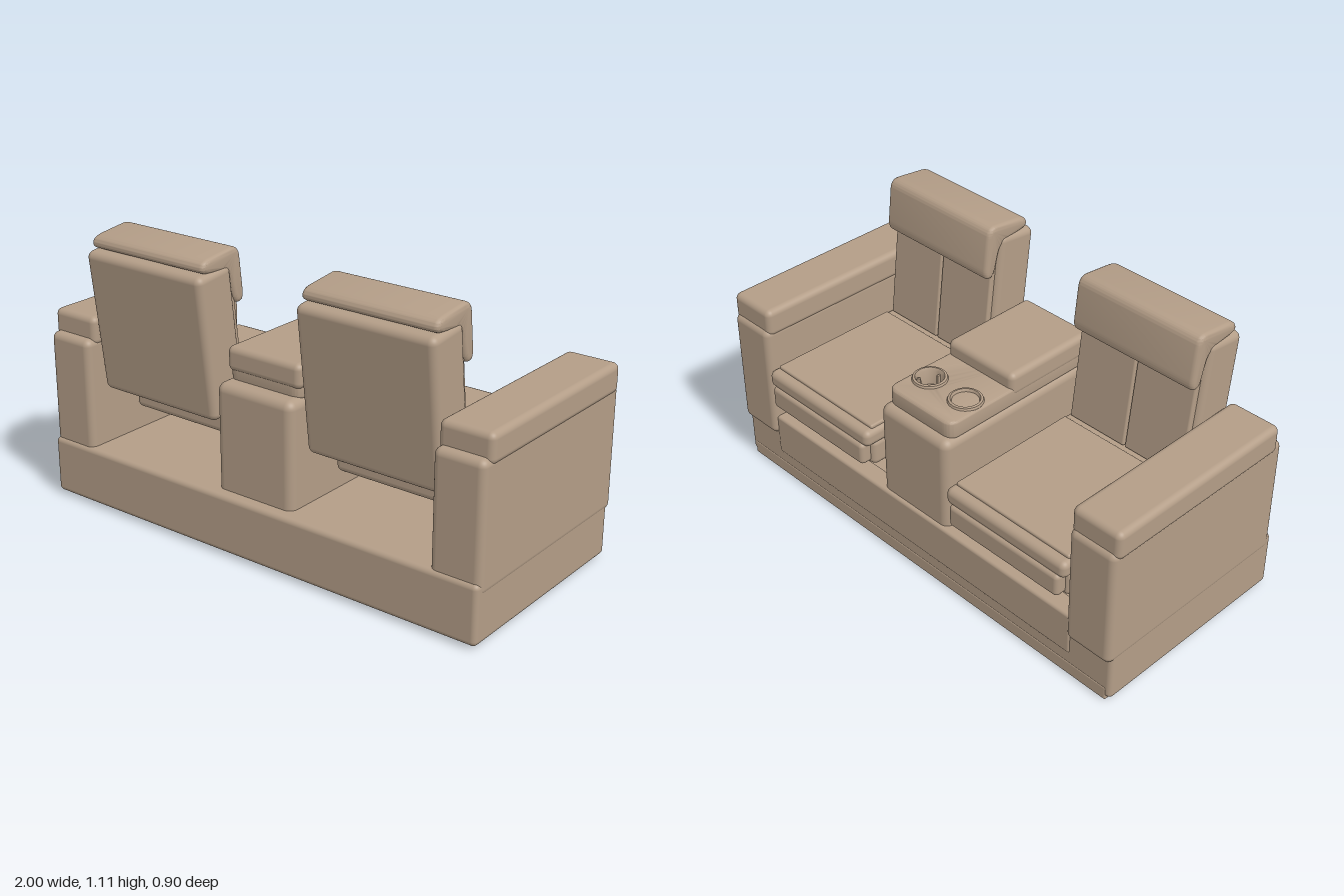
import * as THREE from 'three';
import { RoundedBoxGeometry } from 'three/addons/geometries/RoundedBoxGeometry.js';
import { toCreasedNormals } from 'three/addons/utils/BufferGeometryUtils.js';

const upholstery = new THREE.MeshStandardMaterial({ color: 0xb39d87, side: THREE.DoubleSide });
upholstery.name = 'tan upholstery';

function add(parent, name, geometry, x = 0, y = 0, z = 0) {
  const mesh = new THREE.Mesh(geometry, upholstery);
  mesh.name = name;
  mesh.position.set(x, y, z);
  parent.add(mesh);
  return mesh;
}

// Rounded block given by its extents on each axis
function block(parent, name, [x0, x1], [y0, y1], [z0, z1], r = 0.025) {
  const g = new RoundedBoxGeometry(x1 - x0, y1 - y0, z1 - z0, 4, r);
  return add(parent, name, g, (x0 + x1) / 2, (y0 + y1) / 2, (z0 + z1) / 2);
}

// Closed shape with every corner rounded
function roundedShape(points, r) {
  const p = points.map(([x, y]) => new THREE.Vector2(x, y));
  const s = new THREE.Shape();
  p.forEach((c, i) => {
    const a = p[(i + p.length - 1) % p.length], b = p[(i + 1) % p.length];
    const toward = (q) => c.clone().add(q.clone().sub(c).setLength(Math.min(r, q.distanceTo(c) * 0.48)));
    const start = toward(a), end = toward(b);
    if (i === 0) s.moveTo(start.x, start.y);
    else s.lineTo(start.x, start.y);
    s.quadraticCurveTo(c.x, c.y, end.x, end.y);
  });
  s.closePath();
  return s;
}

function extrude(shape, depth, bevel) {
  const g = new THREE.ExtrudeGeometry(shape, {
    depth: depth - 2 * bevel, bevelEnabled: true, bevelThickness: bevel,
    bevelSize: bevel, bevelOffset: -bevel, bevelSegments: 4, curveSegments: 20,
  });
  g.translate(0, 0, -(depth - 2 * bevel) / 2);
  return toCreasedNormals(g, 0.6);
}

// Recliner seat; the sitter faces -z
function makeSeat(x) {
  const seat = new THREE.Group();
  seat.name = 'seat';
  seat.position.x = x;

  block(seat, 'seatFrame', [-0.285, 0.285], [0.345, 0.46], [-0.41, 0.2]);
  block(seat, 'footrest', [-0.265, 0.265], [0.36, 0.455], [-0.452, -0.3], 0.018);
  block(seat, 'seatCushion', [-0.288, 0.288], [0.445, 0.515], [-0.445, 0.25], 0.025);
  block(seat, 'seatPanel', [-0.272, 0.272], [0.49, 0.527], [-0.405, 0.152], 0.008);

  // Tilted back with two front panels either side of a seam
  const back = new THREE.Group();
  back.name = 'backrest';
  back.position.set(0, 0.765, 0.305);
  back.rotation.x = 0.117;
  seat.add(back);
  block(back, 'backrestCushion', [-0.285, 0.285], [-0.285, 0.285], [-0.083, 0.093], 0.028);
  for (const s of [-1, 1]) {
    const g = new RoundedBoxGeometry(0.262, 0.45, 0.04, 3, 0.008);
    add(back, 'backrestPanel', g, s * 0.134, -0.035, -0.083);
  }

  // Headrest folded over the top of the back
  const profile = roundedShape([
    [0.405, 1.045], [0.395, 1.092], [0.2, 1.115], [0.175, 0.9],
    [0.225, 0.892], [0.262, 1.03],
  ], 0.045);
  const head = extrude(profile, 0.556, 0.018);
  head.rotateY(-Math.PI / 2);
  add(seat, 'headrest', head);
  return seat;
}

function makeArm(side) {
  const arm = new THREE.Group();
  arm.name = side > 0 ? 'leftArm' : 'rightArm';
  const span = (a, b) => (side > 0 ? [a, b] : [-b, -a]);
  block(arm, 'armBody', span(0.79, 0.993), [0.19, 0.68], [-0.436, 0.438], 0.028);
  block(arm, 'armPad', span(0.787, 1.0), [0.65, 0.765], [-0.422, 0.402], 0.025);
  return arm;
}

function makeConsole() {
  const console_ = new THREE.Group();
  console_.name = 'centreConsole';
  block(console_, 'consoleBody', [-0.175, 0.175], [0.2, 0.658], [-0.405, 0.402], 0.035);
  block(console_, 'consoleLid', [-0.168, 0.168], [0.685, 0.782], [-0.07, 0.345], 0.025);

  // Tray with two round openings
  const tray = roundedShape([[-0.165, -0.34], [0.165, -0.34], [0.165, 0.37], [-0.165, 0.37]], 0.045);
  for (const x of [-0.093, 0.093]) {
    const hole = new THREE.Path();
    hole.absarc(x, 0.228, 0.056, 0, Math.PI * 2, true);
    tray.holes.push(hole);
  }
  const g = extrude(tray, 0.075, 0.012);
  g.rotateX(-Math.PI / 2);
  add(console_, 'cupTray', g, 0, 0.685, 0);

  // Cup holders: rim, bowl and inner ribs
  const points = [[0, 0.662], [0.046, 0.664], [0.05, 0.722], [0.055, 0.733], [0.064, 0.731], [0.068, 0.72]]
    .map(([r, y]) => new THREE.Vector2(r, y));
  for (const x of [-0.093, 0.093]) {
    const cup = new THREE.Group();
    cup.name = 'cupHolder';
    cup.position.set(x, 0, -0.228);
    console_.add(cup);
    add(cup, 'cupBowl', toCreasedNormals(new THREE.LatheGeometry(points, 32), 0.6));
    for (let i = 0; i < 3; i++) {
      const a = Math.PI / 2 + (i * Math.PI * 2) / 3;
      const rib = add(cup, 'cupRib', new THREE.BoxGeometry(0.016, 0.05, 0.008), Math.cos(a) * 0.043, 0.69, Math.sin(a) * 0.043);
      rib.rotation.y = -a;
    }
  }
  return console_;
}

export function createModel() {
  const sofa = new THREE.Group();
  sofa.name = 'reclinerSofa';

  // Base platform with a low rail under the seat fronts
  block(sofa, 'basePlatform', [-0.99, 0.99], [0.012, 0.243], [-0.415, 0.45], 0.02);
  block(sofa, 'baseUnderside', [-0.97, 0.97], [0, 0.06], [-0.417, 0.425], 0.008);
  block(sofa, 'frontRail', [-0.8, 0.8], [0.1, 0.278], [-0.42, -0.34], 0.012);

  for (const side of [-1, 1]) {
    sofa.add(makeArm(side));
    sofa.add(makeSeat(side * 0.498));
  }
  sofa.add(makeConsole());
  return sofa;
}
